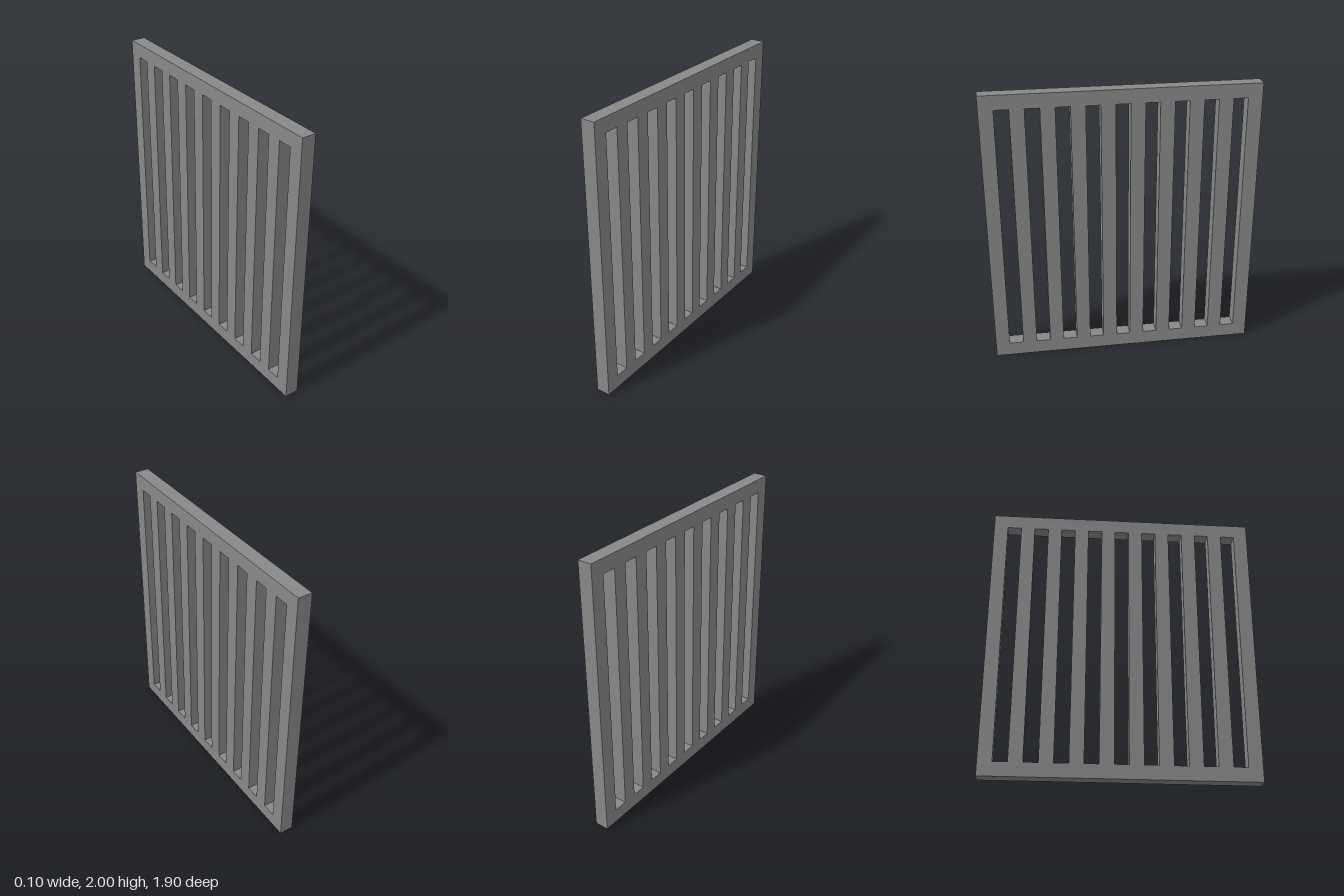
import * as THREE from 'three';

const WIDTH = 1.9, HEIGHT = 2, DEPTH = 0.1; // panel size
const BAR = 0.1, SLOTS = 9;                 // bar and gap width, number of gaps

// Closed rectangular outline, used for the panel edge and the slots
function rectangle(path, x0, y0, x1, y1) {
  path.moveTo(x0, y0);
  path.lineTo(x1, y0);
  path.lineTo(x1, y1);
  path.lineTo(x0, y1);
  path.closePath();
  return path;
}

export function createModel() {
  const group = new THREE.Group();
  group.name = 'barredPanel';

  const greyMetal = new THREE.MeshStandardMaterial({ color: 0x888888 });
  greyMetal.name = 'greyMetal';

  // Outer frame with evenly spaced vertical slots
  const outline = rectangle(new THREE.Shape(), -WIDTH / 2, 0, WIDTH / 2, HEIGHT);
  for (let i = 0; i < SLOTS; i++) {
    const x = -WIDTH / 2 + BAR + i * BAR * 2;
    outline.holes.push(rectangle(new THREE.Path(), x, BAR, x + BAR, HEIGHT - BAR));
  }

  // Extrude the grille and turn it so that its broad sides face left and right
  const geometry = new THREE.ExtrudeGeometry(outline, { depth: DEPTH, bevelEnabled: false });
  geometry.translate(0, 0, -DEPTH / 2);
  geometry.rotateY(Math.PI / 2);

  const grille = new THREE.Mesh(geometry, greyMetal);
  grille.name = 'grille';
  group.add(grille);
  return group;
}
